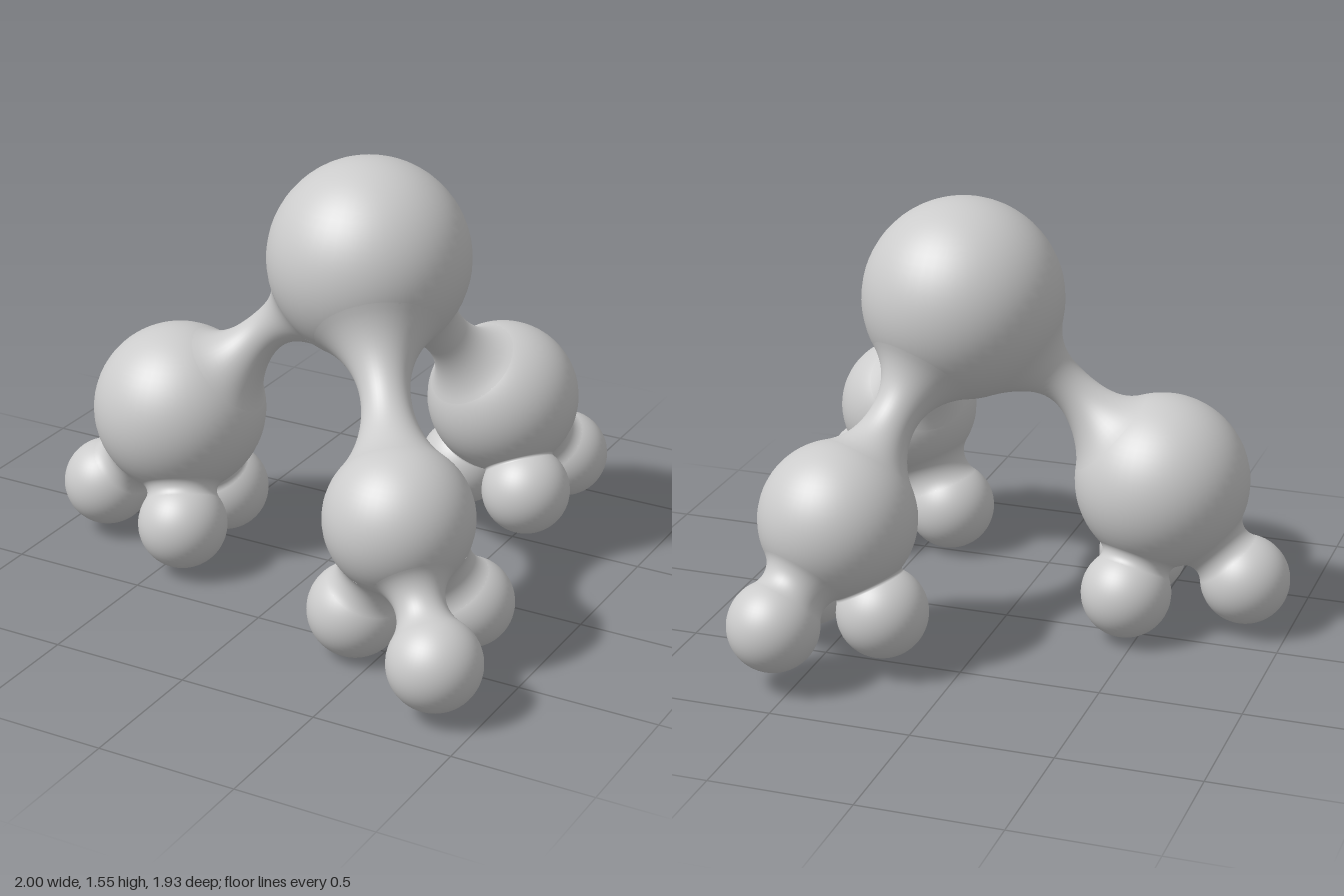
import * as THREE from 'three';

const V = (p) => new THREE.Vector3(p[0], p[1], p[2]);

// Concave neck of radius n, tangent to two spheres given as [x, y, z, radius]
function neckGeometry(s1, s2, n, bow) {
  const p = V(s1), dir = V(s2).sub(p), d = dir.length();
  const R1 = s1[3], R2 = s2[3];
  const reach = (R, f) => Math.sqrt(Math.max(0, R * R - n * n + 2 * f * (R - n)));

  // Fillet radius that touches both spheres
  let lo = 0, hi = 5;
  for (let i = 0; i < 50; i++) {
    const f = (lo + hi) / 2;
    if (reach(R1, f) + reach(R2, f) < d) lo = f; else hi = f;
  }
  const f = lo, a = reach(R1, f), h = n + f;
  const t0 = Math.atan2(-h, -a), t1 = Math.atan2(-h, d - a);
  const profile = [];
  for (let i = 0; i <= 24; i++) {
    const t = t0 + (t1 - t0) * i / 24;
    profile.push(new THREE.Vector2(h + f * Math.sin(t), a + f * Math.cos(t)));
  }
  const geo = new THREE.LatheGeometry(profile, 40);
  const y0 = profile[0].y, y1 = profile[24].y;

  // Turn the neck onto its axis and lift its middle a little
  const q = new THREE.Quaternion().setFromUnitVectors(new THREE.Vector3(0, 1, 0), dir.normalize());
  const pos = geo.attributes.position, nor = geo.attributes.normal;
  const v = new THREE.Vector3();
  for (let i = 0; i < pos.count; i++) {
    v.fromBufferAttribute(pos, i);
    const lift = bow * Math.sin(Math.PI * (v.y - y0) / (y1 - y0)) ** 2;
    v.applyQuaternion(q).add(p);
    pos.setXYZ(i, v.x, v.y + lift, v.z);
    v.fromBufferAttribute(nor, i).applyQuaternion(q);
    nor.setXYZ(i, v.x, v.y, v.z);
  }
  return geo;
}

export function createModel() {
  const model = new THREE.Group();
  model.name = 'branchingSpheres';
  const material = new THREE.MeshStandardMaterial({ color: 0xcccccc });

  const add = (parent, name, geometry) => {
    const mesh = new THREE.Mesh(geometry, material);
    mesh.name = name;
    parent.add(mesh);
    return mesh;
  };
  const ball = (parent, name, s) =>
    add(parent, name, new THREE.SphereGeometry(s[3], 48, 32)).position.copy(V(s));
  const neck = (parent, name, s1, s2, n, bow = 0) =>
    add(parent, name, neckGeometry(s1, s2, n, bow));

  // Large sphere on top
  const core = [0.153, 1.2, -0.015, 0.355];
  ball(model, 'core', core);

  // Three limbs, each a knuckle with three feet [x, y, z, radius, neck radius]
  const limbs = [
    { name: 'rightLimb', knuckle: [-0.537, 0.55, 0.13, 0.31], neck: 0.075, bow: 0.03,
      feet: [[-0.84, 0.2, 0.16, 0.16, 0.115], [-0.42, 0.19, 0.315, 0.16, 0.125], [-0.46, 0.18, -0.045, 0.16, 0.125]] },
    { name: 'frontLimb', knuckle: [0.58, 0.555, 0.565, 0.255], neck: 0.085, bow: 0.01,
      feet: [[0.84, 0.2, 0.805, 0.16, 0.085], [0.755, 0.21, 0.385, 0.155, 0.115], [0.41, 0.17, 0.55, 0.165, 0.12]] },
    { name: 'backLimb', knuckle: [0.425, 0.54, -0.545, 0.275], neck: 0.085, bow: 0.01,
      feet: [[0.56, 0.235, -0.81, 0.16, 0.12], [0.58, 0.245, -0.43, 0.16, 0.125], [0.255, 0.23, -0.575, 0.16, 0.125]] },
  ];
  for (const limb of limbs) {
    const group = new THREE.Group();
    group.name = limb.name;
    model.add(group);
    ball(group, 'knuckle', limb.knuckle);
    neck(group, 'arm', core, limb.knuckle, limb.neck, limb.bow);
    limb.feet.forEach((foot, i) => {
      ball(group, `foot${i + 1}`, foot);
      neck(group, `ankle${i + 1}`, limb.knuckle, foot, foot[4]);
    });
  }
  return model;
}
